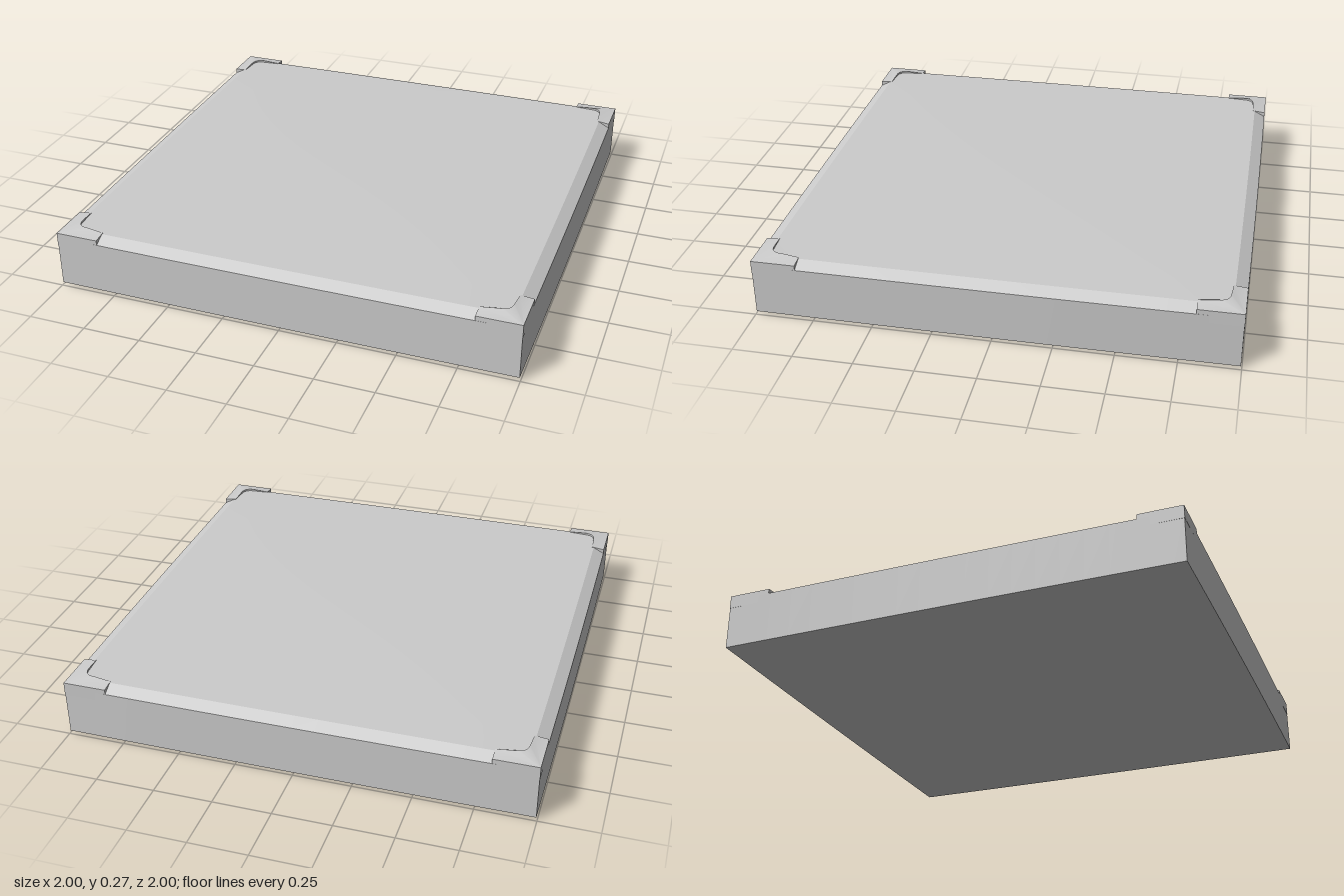
import * as THREE from 'three';
import { toCreasedNormals } from 'three/addons/utils/BufferGeometryUtils.js';

const material = new THREE.MeshStandardMaterial({ color: 0xcccccc });

function moveVertices(geometry, rule) {
  const p = geometry.attributes.position;
  const v = new THREE.Vector3();
  for (let i = 0; i < p.count; i++) {
    rule(v.fromBufferAttribute(p, i));
    p.setXYZ(i, v.x, v.y, v.z);
  }
  return toCreasedNormals(geometry, 0.3);
}

// Square slab: gently domed top with a sloped rim, faintly bulging sides and underside
function slabGeometry() {
  const push = t => (Math.abs(Math.abs(t) - 0.9) < 0.01 ? Math.sign(t) * 0.95 : t);
  const bulge = t => 0.996 + 0.004 * (1 - t * t);
  return moveVertices(new THREE.BoxGeometry(2, 1, 2, 20, 1, 20), v => {
    const x = push(v.x), z = push(v.z);
    const d = Math.max(Math.abs(x), Math.abs(z));
    if (v.y < 0) v.y = 0.014 * d * d;
    else if (d > 0.99) v.y = 0.236;
    else v.y = 0.262 + 0.011 * (1 - (x / 0.95) ** 2) * (1 - (z / 0.95) ** 2);
    v.x = x * bulge(z);
    v.z = z * bulge(x);
  });
}

// L-shaped corner cap with a rounded inner corner, rising to a low inner lip
function capGeometry() {
  const outer = 0.997, inner = 0.935, end = 0.81, r = 0.05;
  const shape = new THREE.Shape();
  shape.moveTo(outer, outer);
  shape.lineTo(end, outer);
  shape.lineTo(end, inner + 0.005);
  shape.lineTo(inner - r, inner);
  shape.quadraticCurveTo(inner, inner, inner, inner - r);
  shape.lineTo(inner + 0.005, end);
  shape.lineTo(outer, end);
  shape.closePath();
  const geometry = new THREE.ExtrudeGeometry(shape, { depth: 1, bevelEnabled: false, curveSegments: 8 });
  geometry.rotateX(-Math.PI / 2);
  return moveVertices(geometry, v => {
    const ax = Math.abs(v.x), az = Math.abs(v.z);
    if (v.y < 0.5) v.y = 0.2;
    else if (Math.max(ax, az) > outer - 0.01) v.y = 0.257;
    else v.y = Math.min(ax, az) < end + 0.01 ? 0.264 : 0.271;
  });
}

export function createModel() {
  const group = new THREE.Group();
  group.name = 'floorTile';

  const slab = new THREE.Mesh(slabGeometry(), material);
  slab.name = 'slab';
  group.add(slab);

  // Four caps, one per corner
  const cap = capGeometry();
  for (let i = 0; i < 4; i++) {
    const mesh = new THREE.Mesh(cap, material);
    mesh.name = 'cornerCap' + (i + 1);
    mesh.rotation.y = (i * Math.PI) / 2;
    group.add(mesh);
  }
  return group;
}
